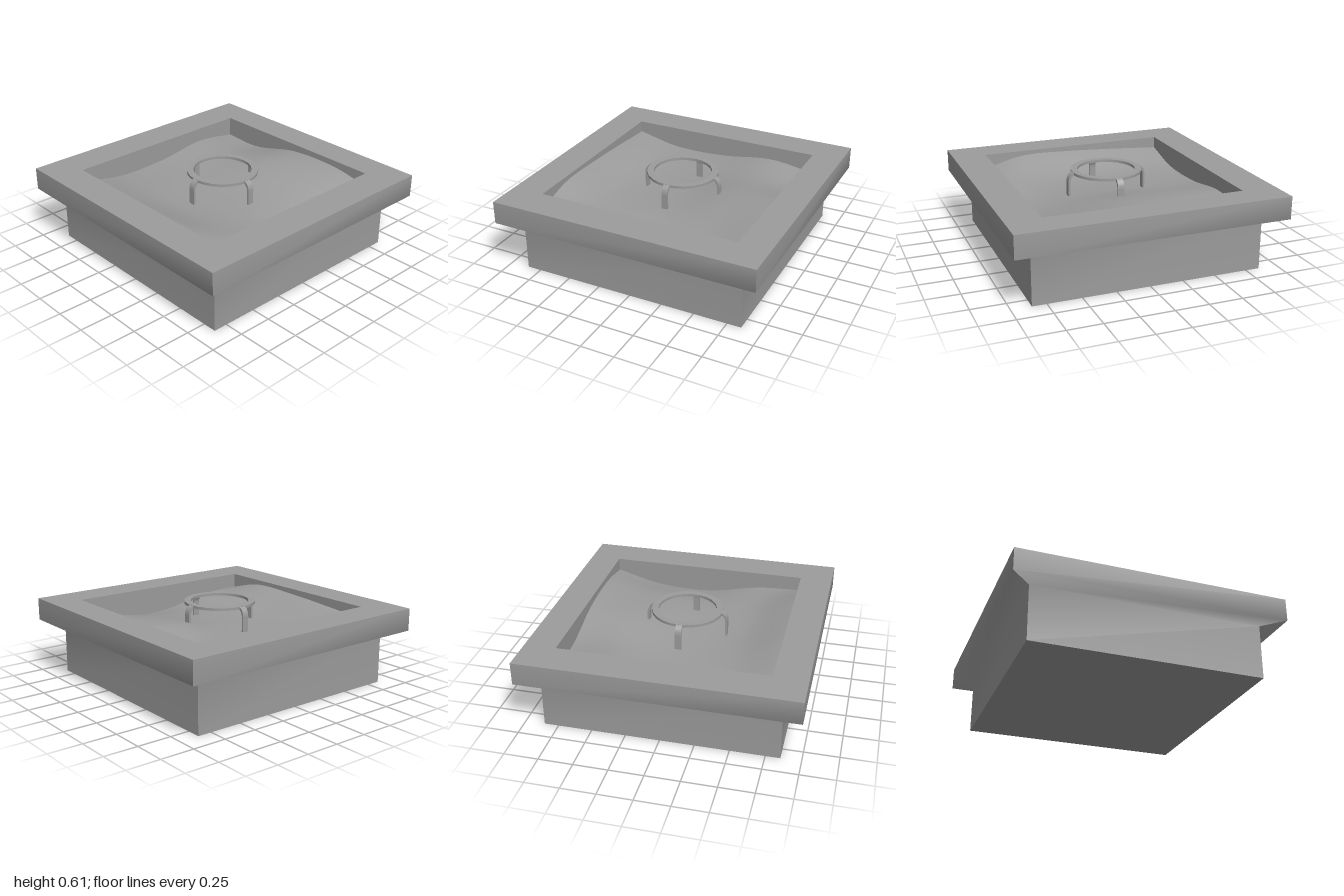
import * as THREE from 'three';
import { mergeGeometries } from 'three/addons/utils/BufferGeometryUtils.js';

const color = 0x9c9c9c;
const material = new THREE.MeshStandardMaterial({ color });
const openMaterial = new THREE.MeshStandardMaterial({ color, side: THREE.DoubleSide });

function add(parent, name, geometry, mat = material) {
  const mesh = new THREE.Mesh(geometry, mat);
  mesh.name = name;
  parent.add(mesh);
  return mesh;
}

// Four strips through rectangular sections [y, x0, x1, z0, z1]; smooth along
// the profile, sharp at the four corners.
function rectangularLoft(sections) {
  const corners = ([y, x0, x1, z0, z1]) => [[x0, y, z1], [x1, y, z1], [x1, y, z0], [x0, y, z0]];
  const sides = [0, 1, 2, 3].map((side) => {
    const positions = [];
    const index = [];
    sections.forEach((section, i) => {
      const c = corners(section);
      positions.push(...c[side], ...c[(side + 1) % 4]);
      if (i > 0) {
        const a = 2 * i - 2;
        index.push(a, a + 1, a + 3, a, a + 3, a + 2);
      }
    });
    const g = new THREE.BufferGeometry();
    g.setAttribute('position', new THREE.Float32BufferAttribute(positions, 3));
    g.setIndex(index);
    g.computeVertexNormals();
    return g;
  });
  return mergeGeometries(sides);
}

const square = (y, r) => [y, -r, r, -r, r];
const opening = (y) => [y, -0.738, 0.743, -0.768, 0.756];

// Body and overhang share soft shading that stays close to the side's direction
function bodyGeometry() {
  const g = rectangularLoft([square(0, 0.855), square(0.41, 0.855), square(0.41, 1), square(0.58, 1)]);
  const n = g.attributes.normal;
  for (let i = 0; i < n.count; i++) n.setY(i, n.getY(i) * 0.25);
  g.normalizeNormals();
  return g;
}

// Ground heights: rows run back to front, columns from -x to +x
const heights = [
  [0.425, 0.415, 0.52, 0.54, 0.48],
  [0.475, 0.46, 0.5, 0.465, 0.37],
  [0.42, 0.42, 0.43, 0.42, 0.362],
  [0.415, 0.43, 0.43, 0.445, 0.455],
  [0.5, 0.53, 0.56, 0.56, 0.44],
];

const spline = (values, t) =>
  new THREE.SplineCurve(values.map((v, i) => new THREE.Vector2(i, v))).getPoint(t).y;

function groundGeometry() {
  const x0 = -0.85, x1 = 0.865, depth = 1.7;
  const g = new THREE.PlaneGeometry(x1 - x0, depth, 40, 40);
  g.rotateX(-Math.PI / 2);
  g.translate((x0 + x1) / 2, 0, 0);
  const p = g.attributes.position;
  for (let i = 0; i < p.count; i++) {
    const u = THREE.MathUtils.clamp((p.getX(i) - x0) / (x1 - x0), 0, 1);
    const v = THREE.MathUtils.clamp(p.getZ(i) / depth + 0.5, 0, 1);
    p.setY(i, spline(heights.map((row) => spline(row, u)), v));
  }
  g.computeVertexNormals();
  return g;
}

// Flat ring with a square section
function ringGeometry() {
  const profile = [[0.218, 0.588], [0.268, 0.588], [0.268, 0.608], [0.218, 0.608], [0.218, 0.588]];
  const bands = profile.slice(1).map((p, i) =>
    new THREE.LatheGeometry([profile[i], p].map(([r, y]) => new THREE.Vector2(r, y)), 24));
  return mergeGeometries(bands);
}

// Bent strap leaving the ring and dropping into the ground
function legGeometry() {
  const width = 0.048;
  const s = new THREE.Shape();
  s.moveTo(0.255, 0.606);
  s.lineTo(0.266, 0.606);
  s.quadraticCurveTo(0.305, 0.588, 0.307, 0.54);
  s.lineTo(0.307, 0.36);
  s.lineTo(0.291, 0.36);
  s.lineTo(0.291, 0.54);
  s.quadraticCurveTo(0.288, 0.575, 0.255, 0.59);
  s.closePath();
  const g = new THREE.ExtrudeGeometry(s, { depth: width, bevelEnabled: false, curveSegments: 6 });
  g.translate(0, 0, -width / 2);
  return g;
}

export function createModel() {
  const model = new THREE.Group();
  model.name = 'firePitBox';

  // Box body with the overhanging rim
  add(model, 'bodyAndRimSides', bodyGeometry());
  add(model, 'rimTop', rectangularLoft([square(0.58, 1), opening(0.58)]));
  add(model, 'innerWalls', rectangularLoft([opening(0.58), opening(0.33)]), openMaterial);
  add(model, 'bottom', new THREE.PlaneGeometry(1.71, 1.71).rotateX(Math.PI / 2));

  // Rolling ground inside the box
  add(model, 'ground', groundGeometry(), openMaterial);

  // Ring stand
  const stand = new THREE.Group();
  stand.name = 'ringStand';
  add(stand, 'ring', ringGeometry());
  const leg = legGeometry();
  for (let i = 0; i < 4; i++) {
    add(stand, 'leg', leg).rotation.y = (i * Math.PI) / 2;
  }
  model.add(stand);

  return model;
}
